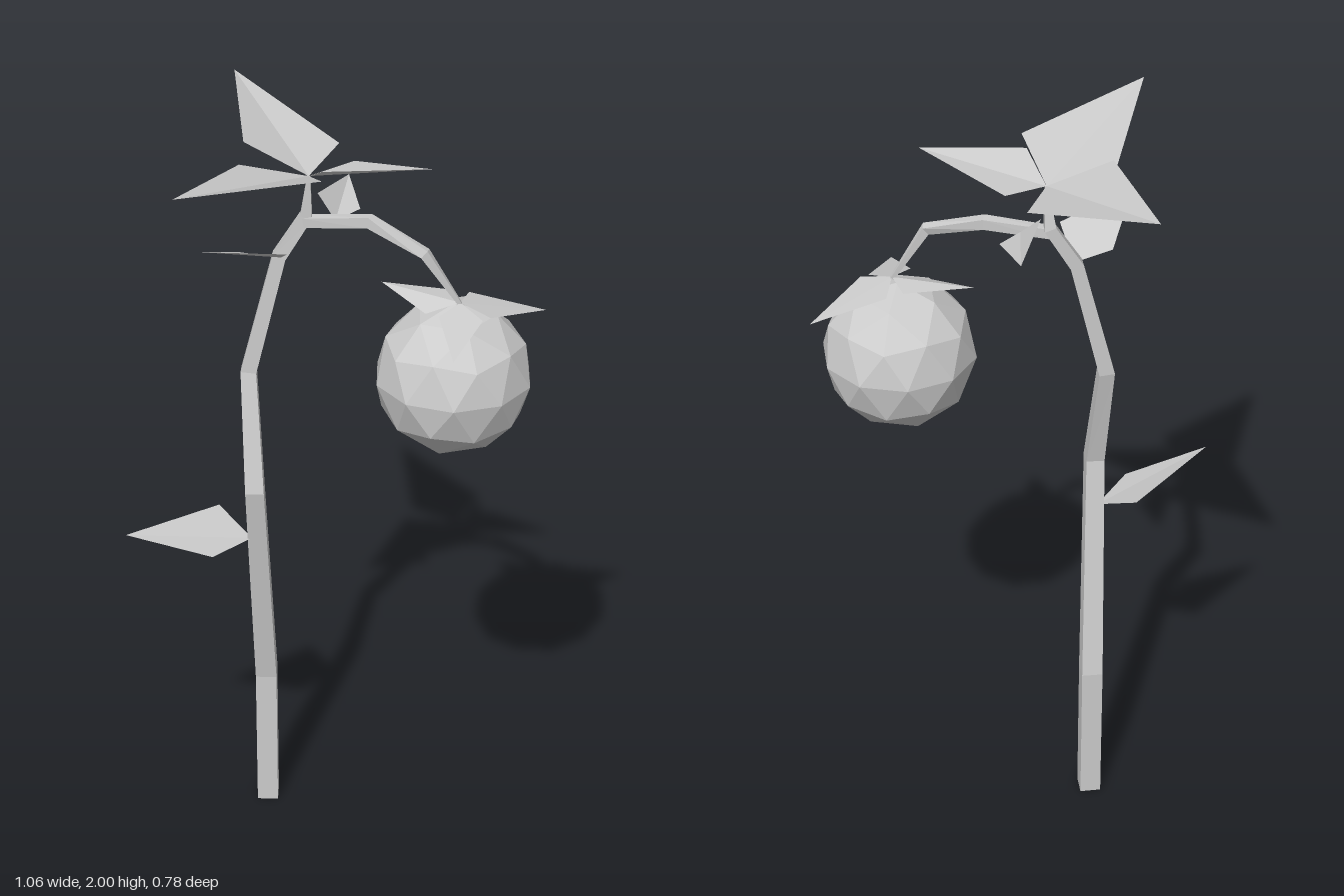
import * as THREE from 'three';

const material = new THREE.MeshStandardMaterial({
  color: 0xcccccc, flatShading: true, side: THREE.DoubleSide,
});

function meshFrom(name, positions, index) {
  const geometry = new THREE.BufferGeometry();
  geometry.setAttribute('position', new THREE.Float32BufferAttribute(positions, 3));
  geometry.setIndex(index);
  const flat = geometry.toNonIndexed();
  flat.computeVertexNormals();
  const mesh = new THREE.Mesh(flat, material);
  mesh.name = name;
  return mesh;
}

// Four-sided tapering stalk through rows of [x, y, z, half width]
function stalk(name, rows, reference) {
  const points = rows.map(([x, y, z]) => new THREE.Vector3(x, y, z));
  const last = rows.length - 1;
  const positions = [], index = [];
  points.forEach((p, i) => {
    const before = points[Math.max(i - 1, 0)], after = points[Math.min(i + 1, last)];
    const t = after.clone().sub(before).normalize();
    const u = reference.clone().addScaledVector(t, -reference.dot(t)).normalize();
    const v = t.clone().cross(u);
    for (const [a, b] of [[1, 1], [-1, 1], [-1, -1], [1, -1]]) {
      const corner = p.clone().addScaledVector(u, a * rows[i][3]).addScaledVector(v, b * rows[i][3]);
      positions.push(corner.x, corner.y, corner.z);
    }
  });
  for (let i = 0; i < last; i++) {
    for (let j = 0; j < 4; j++) {
      const a = i * 4 + j, b = i * 4 + (j + 1) % 4;
      index.push(a, b, b + 4, a, b + 4, a + 4);
    }
  }
  const e = last * 4;
  index.push(0, 2, 1, 0, 3, 2, e, e + 1, e + 2, e, e + 2, e + 3);
  return meshFrom(name, positions, index);
}

// Kite-shaped leaf folded along its midrib
function leaf(name, base, sideA, tip, sideB) {
  const along = new THREE.Vector3(...tip).sub(new THREE.Vector3(...base));
  const across = new THREE.Vector3(...sideB).sub(new THREE.Vector3(...sideA));
  const up = along.cross(across).y > 0;
  const index = up ? [0, 2, 1, 0, 3, 2] : [0, 1, 2, 0, 2, 3];
  // Keep the upper side as the front of both halves
  if (up) index.splice(0, 6, 0, 2, 3, 0, 1, 2);
  else index.splice(0, 6, 0, 3, 2, 0, 2, 1);
  return meshFrom(name, [...base, ...sideA, ...tip, ...sideB], index);
}

export function createModel() {
  const plant = new THREE.Group();
  plant.name = 'fruitingPlant';

  // Kinked main stem
  plant.add(stalk('stem', [
    [-0.188, 0, -0.02, 0.028],
    [-0.188, 0.41, -0.02, 0.028],
    [-0.205, 1.04, 0.087, 0.024],
    [-0.22, 1.35, 0.018, 0.02],
    [-0.14, 1.67, 0.015, 0.017],
    [-0.072, 1.78, 0.013, 0.015],
    [-0.065, 1.89, 0.025, 0.004],
  ], new THREE.Vector3(1, 0, 0)));

  // Arching stalk that carries the fruit
  plant.add(stalk('fruitStalk', [
    [-0.08, 1.765, 0.015, 0.013],
    [0.085, 1.785, 0.055, 0.014],
    [0.222, 1.735, 0.13, 0.012],
    [0.31, 1.6, 0.13, 0.005],
  ], new THREE.Vector3(0, 0, 1)));

  // Leaves: base, side, tip, side
  const crown = [-0.065, 1.89, 0.025];
  plant.add(
    leaf('crownLeafBack', crown, [0.005, 1.91, -0.135], [-0.27, 2, -0.39], [-0.225, 1.965, -0.005]),
    leaf('crownLeafFront', crown, [-0.235, 1.918, 0.025], [-0.367, 1.985, 0.386], [-0.027, 1.95, 0.193]),
    leaf('crownLeafSide', crown, [-0.03, 1.945, 0.125], [0.235, 1.96, 0.135], [0.045, 1.905, -0.037]),
    leaf('stalkLeaf', [0, 1.77, 0.02], [0.06, 1.775, -0.04], [0.028, 1.8, -0.195], [-0.045, 1.825, -0.02]),
    leaf('upperStemLeaf', [-0.135, 1.67, 0.025], [-0.235, 1.69, 0.04], [-0.315, 1.77, 0.212], [-0.115, 1.728, 0.13]),
    leaf('lowerStemLeaf', [-0.215, 0.89, 0.08], [-0.305, 0.942, 0], [-0.53, 0.965, 0.2], [-0.31, 0.9, 0.195]),
  );

  // Faceted fruit with a vertex at its top
  const ball = new THREE.IcosahedronGeometry(0.2, 1);
  ball.rotateZ(Math.atan(2 / (1 + Math.sqrt(5))));
  ball.rotateY(Math.PI);
  const fruit = new THREE.Mesh(ball, material);
  fruit.name = 'fruit';
  fruit.position.set(0.297, 1.396, 0.115);
  plant.add(fruit);

  // Sepals spreading over the fruit
  const cap = [0.31, 1.604, 0.13];
  plant.add(
    leaf('sepalFront', cap, [0.257, 1.592, 0.185], [0.293, 1.543, 0.333], [0.365, 1.582, 0.185]),
    leaf('sepalLeft', cap, [0.385, 1.585, 0.175], [0.526, 1.54, 0.035], [0.333, 1.592, 0.045]),
    leaf('sepalRight', cap, [0.29, 1.6, 0.05], [0.115, 1.612, 0.035], [0.225, 1.582, 0.15]),
  );

  return plant;
}
